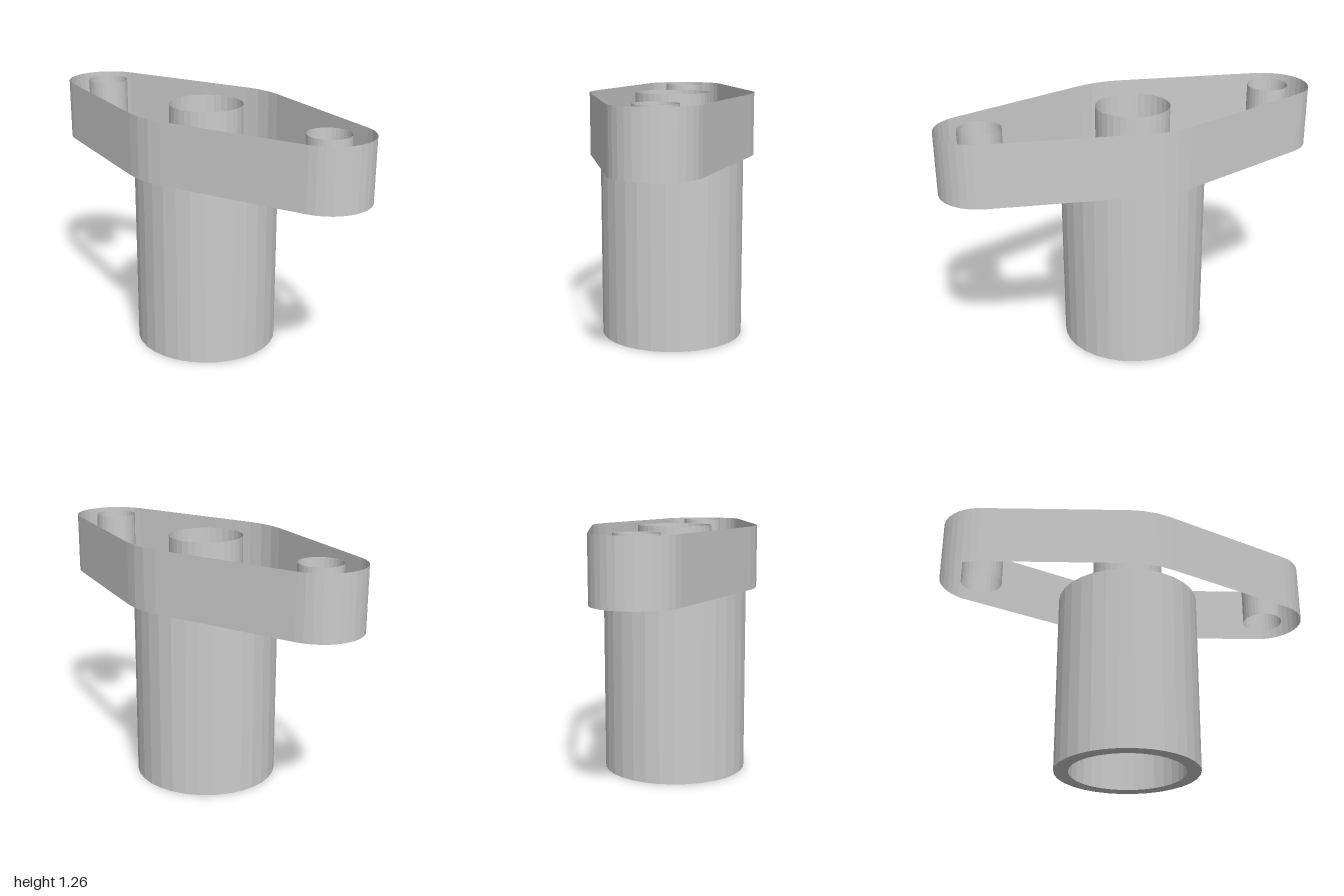
import * as THREE from 'three';

const SEGMENTS = 32;
const FLANGE_BOTTOM = 0.95, FLANGE_TOP = 1.263;
const LOBE_Z = 0.787, LOBE_R = 0.213, MID_R = 0.42, BOLT_R = 0.105, BORE_R = 0.187;

const material = new THREE.MeshStandardMaterial({
  color: 0xcccccc, flatShading: true, side: THREE.DoubleSide,
});

function addMesh(group, name, geometry) {
  const mesh = new THREE.Mesh(geometry, material);
  mesh.name = name;
  group.add(mesh);
  return mesh;
}

// Points of an arc in the (x, z) plane, angle measured from +x towards +z
function arc(cz, r, from, to, steps) {
  return Array.from({ length: steps + 1 }, (_, i) => {
    const a = from + (to - from) * i / steps;
    return new THREE.Vector2(r * Math.cos(a), cz + r * Math.sin(a));
  });
}

// Open vertical wall that follows a closed outline
function wall(outline, bottom, top) {
  const positions = [], index = [], n = outline.length;
  outline.forEach((p, i) => {
    positions.push(p.x, bottom, p.y, p.x, top, p.y);
    const a = 2 * i, b = 2 * ((i + 1) % n);
    index.push(a, a + 1, b, b, a + 1, b + 1);
  });
  const geometry = new THREE.BufferGeometry();
  geometry.setAttribute('position', new THREE.Float32BufferAttribute(positions, 3));
  geometry.setIndex(index);
  geometry.computeVertexNormals();
  return geometry;
}

export function createModel() {
  const model = new THREE.Group();
  model.name = 'flangedSleeve';

  // Hollow sleeve: outer wall, bottom rim and a bore that narrows in two steps
  const profile = [
    [0.367, FLANGE_BOTTOM], [0.367, 0], [0.295, 0], [0.295, 0.63],
    [0.21, 0.63], [0.21, 0.79], [0.15, 0.79], [0.15, FLANGE_BOTTOM],
  ].map(([r, y]) => new THREE.Vector2(r, y));
  addMesh(model, 'sleeve', new THREE.LatheGeometry(profile, SEGMENTS));

  // Flange rim: a wide middle arc joined by tangents to two rounded lobes
  const t = Math.asin((MID_R - LOBE_R) / LOBE_Z);
  const outline = [
    ...arc(0, MID_R, -t, t, 3),
    ...arc(LOBE_Z, LOBE_R, t, Math.PI - t, 14),
    ...arc(0, MID_R, Math.PI - t, Math.PI + t, 3),
    ...arc(-LOBE_Z, LOBE_R, Math.PI + t, 2 * Math.PI - t, 14),
  ];
  addMesh(model, 'flangeRim', wall(outline, FLANGE_BOTTOM, FLANGE_TOP));

  // Bore and bolt hole walls through the flange
  const height = FLANGE_TOP - FLANGE_BOTTOM;
  const holes = [
    ['flangeBore', BORE_R, 0],
    ['frontBoltHole', BOLT_R, LOBE_Z],
    ['backBoltHole', BOLT_R, -LOBE_Z],
  ];
  for (const [name, r, z] of holes) {
    const hole = addMesh(model, name, new THREE.CylinderGeometry(r, r, height, SEGMENTS, 1, true));
    hole.position.set(0, FLANGE_BOTTOM + height / 2, z);
  }

  return model;
}
